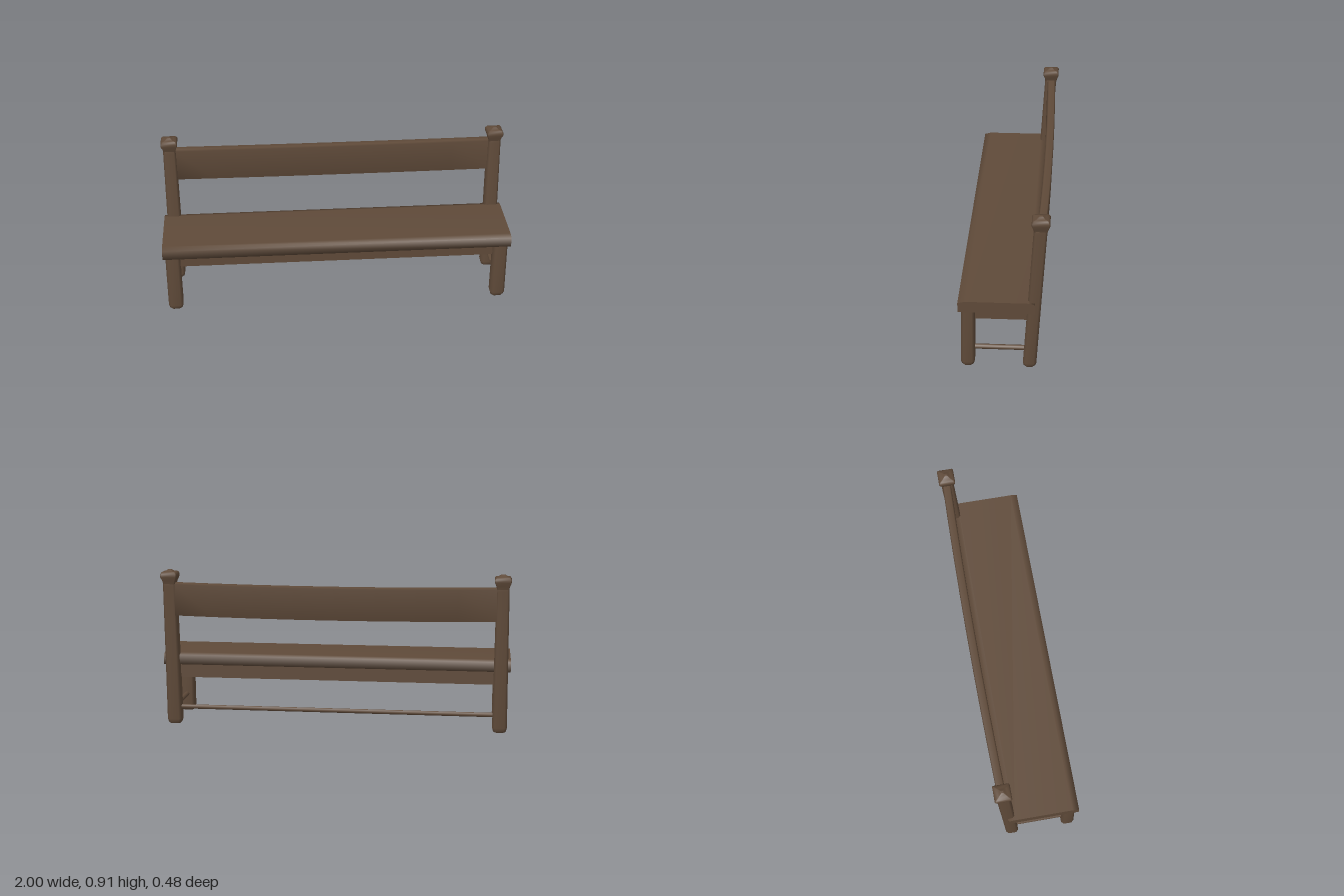
import * as THREE from 'three';

const wood = new THREE.MeshStandardMaterial({ color: 0x5f4a39 });
wood.name = 'dark brown wood';

// Skin a list of closed rings (counter-clockwise seen from the far end) and cap both ends
function loft(rings) {
  const n = rings[0].length;
  const pos = rings.flat(2);
  const index = [];
  for (let r = 0; r < rings.length - 1; r++) {
    for (let i = 0; i < n; i++) {
      const j = (i + 1) % n;
      const a = r * n + i, b = r * n + j, c = a + n, d = b + n;
      index.push(a, b, d, a, d, c);
    }
  }
  const addCap = (ring, flip) => {
    const base = pos.length / 3;
    pos.push(...ring.flat());
    for (let i = 1; i < n - 1; i++) {
      index.push(base, base + (flip ? i + 1 : i), base + (flip ? i : i + 1));
    }
  };
  addCap(rings[0], true);
  addCap(rings[rings.length - 1], false);
  const g = new THREE.BufferGeometry();
  g.setAttribute('position', new THREE.Float32BufferAttribute(pos, 3));
  g.setIndex(index);
  g.computeVertexNormals();
  return g;
}

// Rectangle with cut corners, half sizes a and b
function bevelRect(a, b, c) {
  return [[a, c - b], [a, b - c], [a - c, b], [c - a, b], [-a, b - c], [-a, c - b], [c - a, -b], [a - c, -b]];
}

// Upright piece from levels [y, centre z, half depth, half width, corner cut]
function upright(x, levels) {
  return loft(levels.map(([y, z, hz, hx, c]) =>
    bevelRect(hz, hx, c).map(([u, v]) => [x + v, y, z + u])));
}

export function createModel() {
  const bench = new THREE.Group();
  bench.name = 'bench';
  const add = (name, geometry, parent = bench) => {
    const m = new THREE.Mesh(geometry, wood);
    m.name = name;
    parent.add(m);
    return m;
  };

  // Seat plank with softened top edges, [y, z] section
  const seat = [[0.355, 0.238], [0.355, -0.165], [0.41, -0.165], [0.42, -0.13], [0.42, 0.2], [0.41, 0.238]];
  add('seat', loft([-1, 1].map((x) => seat.map(([y, z]) => [x, y, z]))));

  // Apron under the seat
  const apron = add('apron', new THREE.BoxGeometry(1.87, 0.085, 0.33));
  apron.position.set(0, 0.3175, 0.025);

  // Legs, posts and finials on both sides
  for (const s of [1, -1]) {
    const x = 0.945 * s;
    const side = new THREE.Group();
    side.name = s > 0 ? 'leftSide' : 'rightSide';
    bench.add(side);

    add('frontLeg', upright(x, [
      [0, 0.192, 0.026, 0.032, 0.014],
      [0.008, 0.192, 0.031, 0.037, 0.014],
      [0.028, 0.192, 0.037, 0.042, 0.014],
      [0.36, 0.187, 0.035, 0.041, 0.013],
    ]), side);

    add('backPost', upright(x, [
      [0, -0.137, 0.026, 0.032, 0.014],
      [0.008, -0.137, 0.031, 0.037, 0.014],
      [0.028, -0.138, 0.036, 0.042, 0.014],
      [0.40, -0.161, 0.035, 0.039, 0.012],
      [0.82, -0.187, 0.035, 0.036, 0.010],
      [0.837, -0.188, 0.034, 0.035, 0.010],
    ]), side);

    add('finial', upright(x, [
      [0.832, -0.19, 0.034, 0.033, 0.005],
      [0.85, -0.19, 0.038, 0.037, 0.005],
      [0.872, -0.19, 0.046, 0.046, 0.005],
      [0.888, -0.19, 0.047, 0.047, 0.005],
      [0.9, -0.19, 0.040, 0.040, 0.005],
      [0.902, -0.19, 0.025, 0.025, 0.003],
      [0.912, -0.19, 0.012, 0.012, 0.002],
      [0.914, -0.19, 0.005, 0.005, 0.001],
    ]), side);

    const rail = add('sideStretcher', new THREE.CylinderGeometry(0.014, 0.014, 0.31, 8), side);
    rail.rotation.x = Math.PI / 2;
    rail.position.set(x, 0.104, 0.025);
  }

  // Long stretcher between the back posts
  const stretcher = add('backStretcher', new THREE.CylinderGeometry(0.013, 0.013, 1.85, 8));
  stretcher.rotation.z = Math.PI / 2;
  stretcher.position.set(0, 0.099, -0.144);

  // Backrest board, bowed backward and sagging slightly in the middle, [y, z] section
  const board = [[0.65, -0.163], [0.65, -0.209], [0.83, -0.216], [0.839, -0.21], [0.839, -0.177], [0.83, -0.169]];
  const rings = [];
  for (let i = 0; i <= 8; i++) {
    const t = i / 4 - 1;
    const bow = 1 - t * t;
    rings.push(board.map(([y, z]) => [t * 0.925, y - 0.01 * bow, z - 0.012 * bow]));
  }
  add('backrest', loft(rings));

  return bench;
}
